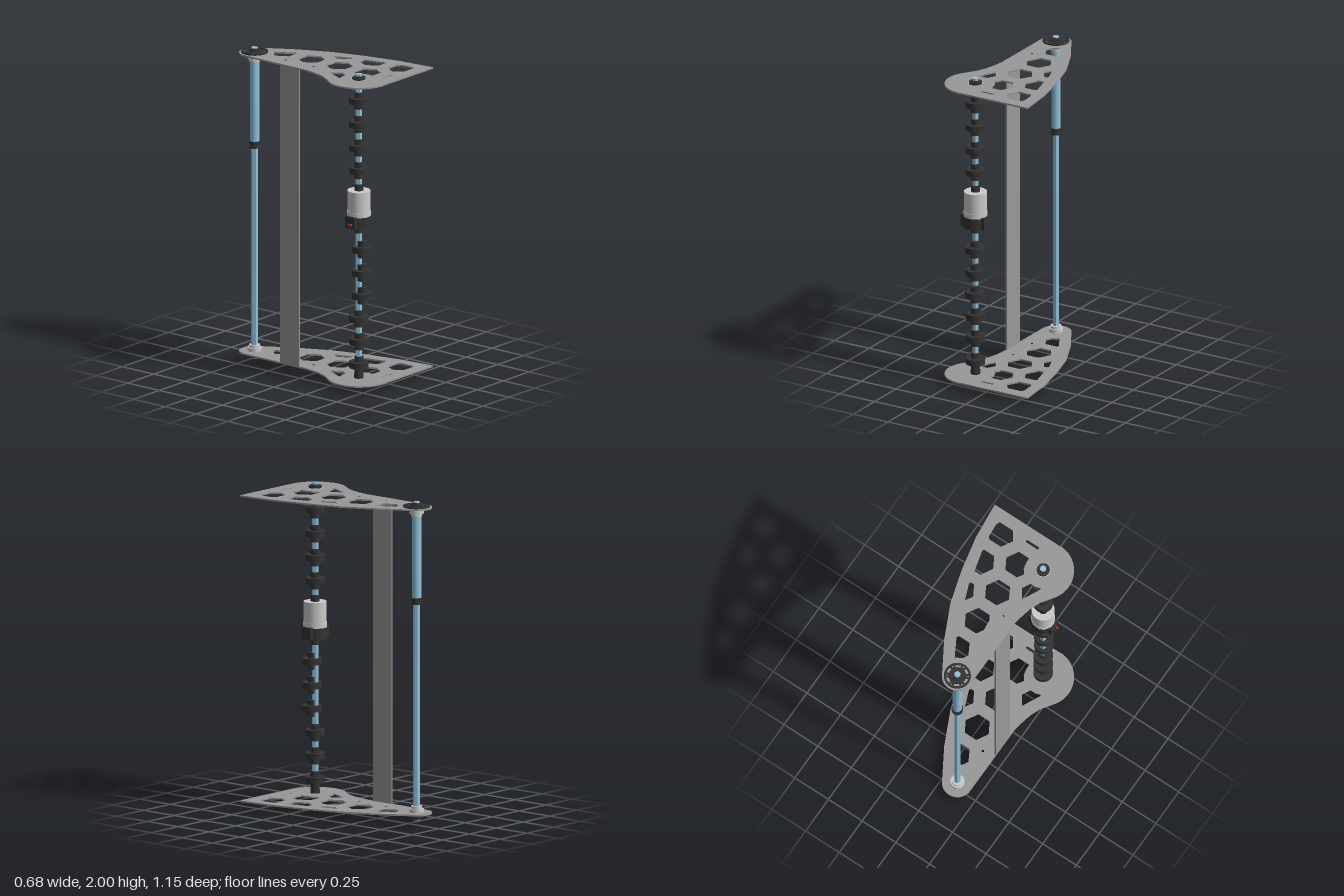
import * as THREE from 'three';

const mat = (color, flatShading = false) => new THREE.MeshStandardMaterial({ color, flatShading });
const sheet = mat(0x999999);
const metal = mat(0xcccccc);
const black = mat(0x333333);
const blue = mat(0x8fc3e0);
const blueFlat = mat(0x8fc3e0, true);
const red = mat(0xb03020);

const A = [-0.15, 0.387]; // front shaft (x, z)
const B = [-0.103, -0.48]; // rear shaft (x, z)

function add(parent, name, geometry, material, x = 0, y = 0, z = 0) {
  const mesh = new THREE.Mesh(geometry, material);
  mesh.name = name;
  mesh.position.set(x, y, z);
  parent.add(mesh);
  return mesh;
}

// Upright cylinder between two heights
const post = (parent, name, [x, z], r, y0, y1, material, sides = 32) =>
  add(parent, name, new THREE.CylinderGeometry(r, r, y1 - y0, sides), material, x, (y0 + y1) / 2, z);

// Hexagonal rod with corners pointing along x
function hexRod(parent, name, at, r, y0, y1) {
  post(parent, name, at, r, y0, y1, blueFlat, 6).rotation.y = Math.PI / 6;
}

// Flat sheet from a shape drawn in (x, z); its upper face lies at y = 0
const slab = (shape, depth) =>
  new THREE.ExtrudeGeometry(shape, { depth, bevelEnabled: false, curveSegments: 24 }).rotateX(Math.PI / 2);

const path = (pts) => new THREE.Path(pts.map(([x, z]) => new THREE.Vector2(x, z)));
const circle = (x, z, r) => new THREE.Path().absarc(x, z, r, 0, Math.PI * 2, true);

function plateGeometry() {
  const s = new THREE.Shape();
  s.moveTo(A[0], 0.575);
  s.lineTo(0.337, 0.575);
  s.lineTo(0.313, 0.335);
  s.lineTo(0.265, 0.11);
  s.lineTo(0.2, -0.11);
  s.lineTo(0.097, -0.33);
  s.lineTo(-0.018, -0.522);
  s.absarc(B[0], B[1], 0.095, -0.46, -Math.PI, true);
  s.lineTo(-0.2, 0);
  s.lineTo(-0.207, 0.05);
  s.lineTo(-0.225, 0.134);
  s.lineTo(-0.252, 0.2);
  s.lineTo(-0.298, 0.267);
  s.absarc(A[0], A[1], 0.19, Math.PI * 1.22, Math.PI * 0.5, true);

  // Lightening holes: two full hexagons, then those trimmed by the edges
  for (const z of [-0.112, 0.11]) {
    s.holes.push(path([0, 1, 2, 3, 4, 5].map((i) =>
      [0.085 * Math.cos(i * Math.PI / 3), z + 0.085 * Math.sin(i * Math.PI / 3)])));
  }
  const trimmed = [
    [[-0.043, 0.258], [0.043, 0.258], [0.085, 0.331], [0.043, 0.404], [-0.035, 0.404], [-0.036, 0.37], [-0.046, 0.328], [-0.068, 0.298]],
    [[-0.021, -0.389], [0.046, -0.27], [0.036, -0.258], [-0.043, -0.258], [-0.083, -0.33], [-0.064, -0.366]],
    [[0.137, -0.046], [0.18, 0.064], [0.17, 0.073], [0.149, 0.073], [0.108, 0.003], [0.115, -0.01]],
    [[0.15, 0.146], [0.197, 0.146], [0.233, 0.288], [0.225, 0.295], [0.15, 0.295], [0.109, 0.222]],
    [[0.15, 0.368], [0.237, 0.368], [0.252, 0.389], [0.258, 0.474], [0.249, 0.498], [0.15, 0.498], [0.109, 0.44]],
    [[-0.149, 0.155], [-0.106, 0.219], [-0.134, 0.271], [-0.17, 0.271], [-0.204, 0.283], [-0.206, 0.271]],
    [[-0.045, 0.48], [0.042, 0.48], [0.047, 0.489], [0.042, 0.497], [-0.045, 0.497], [-0.05, 0.489]],
  ];
  trimmed.forEach((p) => s.holes.push(path(p)));
  for (const z of [-0.222, 0]) s.holes.push(circle(-0.117, z, 0.008));
  return slab(s, 0.01);
}

// Slotted bearing flange, alternating arc slots and round holes
function flangeGeometry() {
  const s = new THREE.Shape().absarc(0, 0, 0.083, 0, Math.PI * 2, false);
  for (let i = 0; i < 6; i++) {
    const a = i * Math.PI / 3;
    const slot = new THREE.Path();
    slot.absarc(0, 0, 0.07, a - 0.28, a + 0.28, false);
    slot.absarc(0, 0, 0.054, a + 0.28, a - 0.28, true);
    slot.closePath();
    s.holes.push(slot);
    const b = a + Math.PI / 6;
    s.holes.push(circle(0.066 * Math.cos(b), 0.066 * Math.sin(b), 0.006));
  }
  return slab(s, 0.01);
}

export function createModel() {
  const model = new THREE.Group();
  model.name = 'rollerFrame';

  // End plates and the upright strip joining them
  const plate = plateGeometry();
  add(model, 'bottomPlate', plate, sheet, 0, 0.055, 0);
  add(model, 'topPlate', plate, sheet, 0, 1.965, 0);
  add(model, 'sideStrip', new THREE.BoxGeometry(0.01, 1.9, 0.152), sheet, -0.195, 1.005, -0.124);

  // Bearings, mirrored for the lower and upper plate
  const flange = flangeGeometry();
  for (const top of [false, true]) {
    const side = top ? 'top' : 'bottom';
    const span = (name, at, r, y0, y1, m) =>
      post(model, side + name, at, r, top ? 2 - y1 : y0, top ? 2 - y0 : y1, m);
    add(model, side + 'RearFlange', flange, black, B[0], top ? 1.974 : 0.046, B[1]);
    span('RearHub', B, 0.037, 0.018, 0.05, black);
    span('RearHubNose', B, 0.025, 0.01, 0.02, black);
    span('RearBearing', B, 0.044, 0.053, 0.078, metal);
    span('RearBearingCap', B, 0.034, 0.078, 0.094, metal);
    span('FrontBearingRing', A, 0.045, 0.034, 0.046, metal);
    span('FrontHub', A, 0.041, 0.022, 0.036, black);
    span('FrontHubNose', A, 0.027, 0.014, 0.024, black);
    span('FrontCollar', A, 0.03, 0.055, 0.08, black);
  }

  // Shafts
  hexRod(model, 'frontShaft', A, 0.021, 0, 2);
  hexRod(model, 'rearShaft', B, 0.021, 0.004, 1.996);
  post(model, 'rearSleeve', B, 0.029, 1.39, 1.92, blue);
  post(model, 'sleeveCollar', B, 0.028, 1.355, 1.4, black);
  for (const y of [1.355, 1.385]) post(model, 'sleeveCollarRim', B, 0.035, y, y + 0.012, black);

  // Wheels with long hubs; three of them sit slightly off the shaft axis
  const wheel = new THREE.Group();
  wheel.name = 'wheel';
  post(wheel, 'wheelHub', [0, 0], 0.028, -0.053, 0.053, black);
  post(wheel, 'wheelTread', [0, 0], 0.06, -0.019, 0.019, black);
  for (const y of [0.14, 0.29, 0.435, 0.585, 0.73, 0.88, 1.385, 1.53, 1.68, 1.83]) {
    const w = wheel.clone();
    const loose = y > 0.5 && y < 1;
    w.position.set(A[0] + (loose ? 0.007 : 0), y, A[1] + (loose ? 0.018 : 0));
    model.add(w);
  }
  post(model, 'lowestSpacer', A, 0.028, 0.06, 0.09, black);
  post(model, 'spacerBelowMotor', A, 0.028, 0.985, 1.025, black);
  post(model, 'spacerAboveMotor', A, 0.028, 1.25, 1.295, black);

  // Motor: can, skirt, dark base with side lugs, and wire ends
  const motor = new THREE.Group();
  motor.name = 'motor';
  motor.position.set(A[0], 0, A[1]);
  model.add(motor);
  post(motor, 'motorCan', [0, 0], 0.071, 1.12, 1.255, metal, 48);
  post(motor, 'motorSkirt', [0, 0], 0.074, 1.095, 1.125, metal, 48);
  post(motor, 'motorBase', [0, 0], 0.074, 1.022, 1.105, black, 48);
  for (const s of [-1, 1]) {
    add(motor, 'baseLug', new THREE.BoxGeometry(0.03, 0.075, 0.075), black, s * 0.071, 1.063, 0);
  }
  [-0.012, 0.012].forEach((z, i) => {
    const wire = add(motor, 'wireEnd', new THREE.CylinderGeometry(0.007, 0.007, 0.03, 12), i ? red : black, -0.09, 1.052, z);
    wire.rotation.z = Math.PI / 2;
  });

  return model;
}
